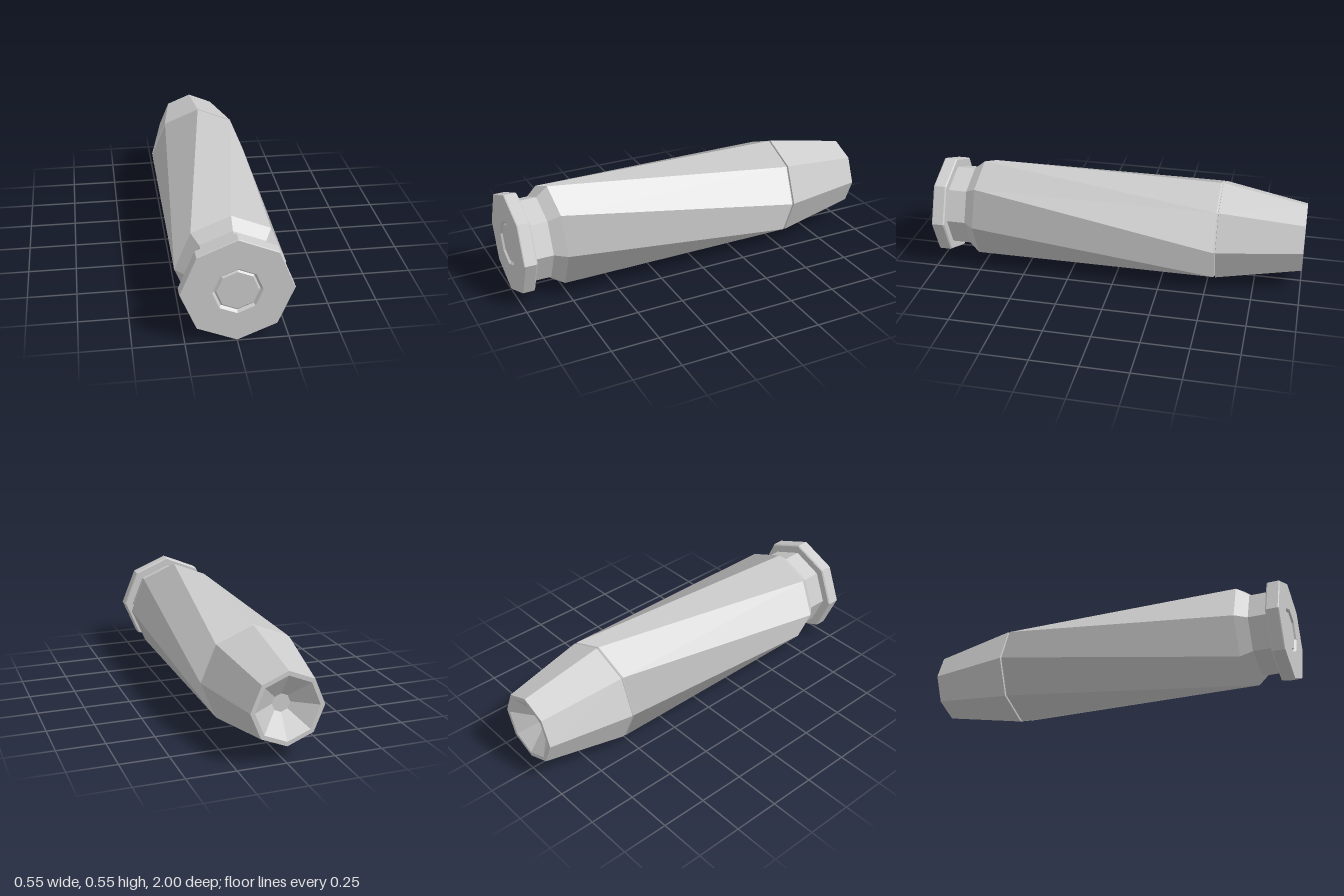
import * as THREE from 'three';

const SIDES = 8;
const R = 0.274;       // outer radius
const FRONT = 0.77;    // body ends along z
const BACK = -0.54;

// Eight-sided flat-shaded solid of revolution about z; profile points are [radius, z]
function turned(name, profile, material) {
  const geo = new THREE.LatheGeometry(profile.map(([r, z]) => new THREE.Vector2(r, z)), SIDES);
  geo.rotateX(Math.PI / 2);
  const mesh = new THREE.Mesh(geo, material);
  mesh.name = name;
  return mesh;
}

// Casing wall: panels wind one eighth of a turn, each folded over a corner and shaded as one face
function twistedWall(material) {
  const pos = [], nor = [];
  const corner = (i, z) => {
    const a = (i / SIDES) * Math.PI * 2;
    return [R * Math.cos(a), R * Math.sin(a), z];
  };
  for (let i = 0; i < SIDES; i++) {
    const a = (i / SIDES) * Math.PI * 2;
    pos.push(
      ...corner(i, FRONT), ...corner(i, BACK), ...corner(i + 1, FRONT),
      ...corner(i, FRONT), ...corner(i - 1, BACK), ...corner(i, BACK));
    for (let k = 0; k < 6; k++) nor.push(Math.cos(a), Math.sin(a), 0);
  }
  const geo = new THREE.BufferGeometry();
  geo.setAttribute('position', new THREE.Float32BufferAttribute(pos, 3));
  geo.setAttribute('normal', new THREE.Float32BufferAttribute(nor, 3));
  const mesh = new THREE.Mesh(geo, material);
  mesh.name = 'casingWall';
  return mesh;
}

export function createModel() {
  const flat = new THREE.MeshStandardMaterial({ color: 0xcccccc, flatShading: true });
  const panel = new THREE.MeshStandardMaterial({ color: 0xcccccc });
  const group = new THREE.Group();
  group.name = 'cartridge';

  // Shoulder, extractor groove, rim and the V-shaped ring around the primer
  group.add(turned('casingBase', [
    [R, FRONT], [0.225, 0.83], [0.225, 0.93], [0.268, 0.93], [R, 0.937],
    [R, 0.995], [0.271, 1], [0.121, 1], [0.109, 0.985],
  ], flat));
  group.add(turned('primer', [[0.109, 0.985], [0.1, 0.993], [0, 0.993]], flat));

  group.add(twistedWall(panel));

  // Narrow mouth edge closing the casing against the tip
  group.add(turned('casingMouth', [[0.262, -0.55], [0.269, -0.546], [R, BACK]], flat));

  // Tapered tip with a hollow conical nose
  group.add(turned('hollowTip', [
    [0, -0.915], [0.047, -0.915], [0.165, -1], [0.188, -1], [R, -0.552], [0.262, -0.55],
  ], flat));

  group.position.y = R;
  const root = new THREE.Group();
  root.add(group);
  return root;
}
